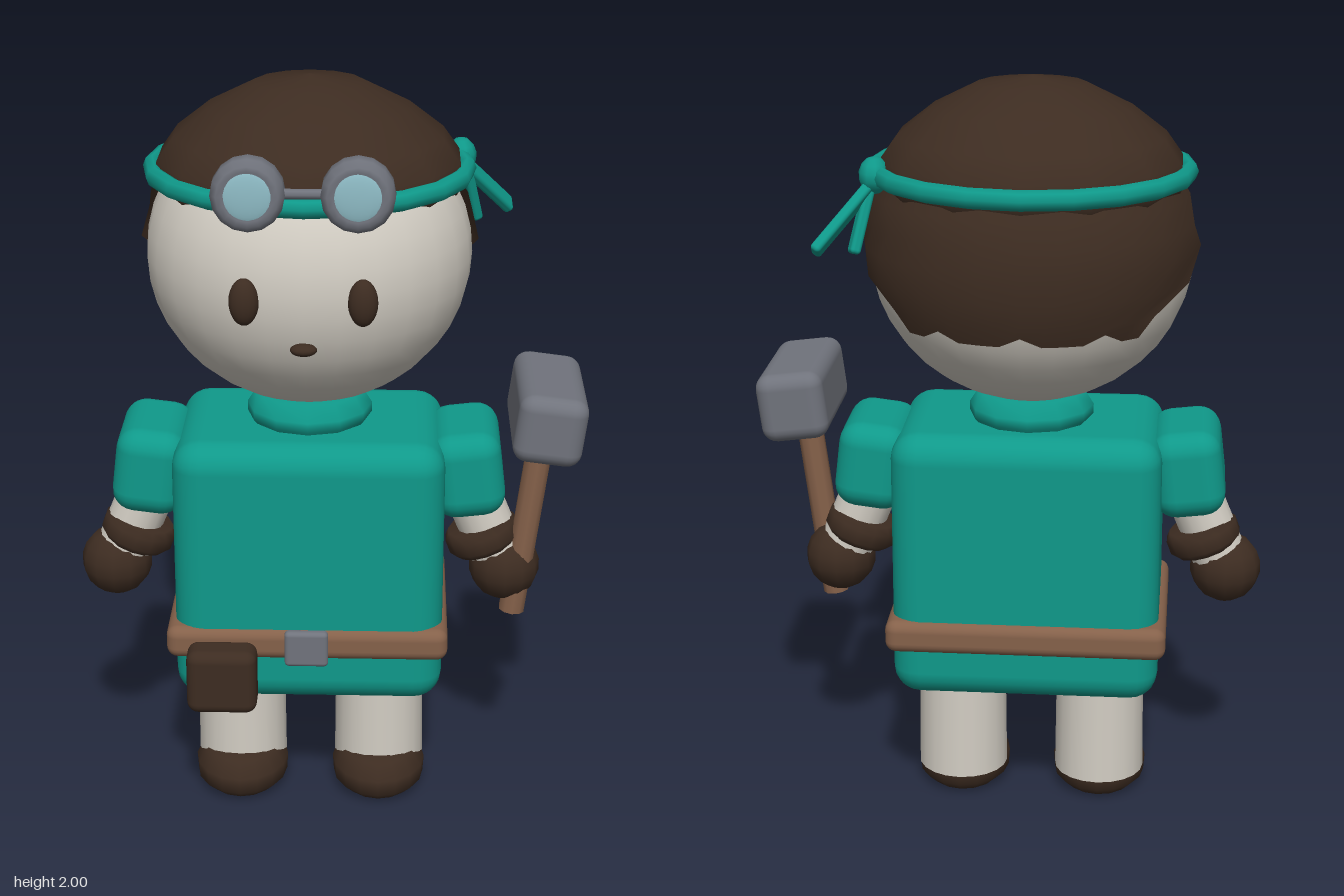
import * as THREE from 'three';
import { RoundedBoxGeometry } from 'three/addons/geometries/RoundedBoxGeometry.js';

const CX = -0.055; // body's plane of symmetry

const paint = (name, color) => {
  const m = new THREE.MeshStandardMaterial({ color });
  m.name = name;
  return m;
};

export function createModel() {
  const model = new THREE.Group();
  model.name = 'hammerWorker';
  const skin = paint('paleSkin', 0xd2cdc3);
  const dark = paint('darkBrown', 0x3d2c21);
  dark.side = THREE.DoubleSide;
  const teal = paint('tealCloth', 0x0f998a);
  const leather = paint('brownLeather', 0x85614a);
  const metal = paint('greyMetal', 0x70737c);
  const glass = paint('paleBlueGlass', 0x8fbcc6);

  const add = (name, geometry, material, x = 0, y = 0, z = 0, rz = 0) => {
    const mesh = new THREE.Mesh(geometry, material);
    mesh.name = name;
    mesh.position.set(x, y, z);
    mesh.rotation.z = rz;
    model.add(mesh);
    return mesh;
  };
  const box = (w, h, d, r) => new RoundedBoxGeometry(w, h, d, 3, r);
  const ball = (rx, ry, rz, n = 16) => new THREE.SphereGeometry(1, n, Math.ceil(n * 0.7)).scale(rx, ry, rz);
  const lathe = (pts, n) => new THREE.LatheGeometry(pts.map(([x, y]) => new THREE.Vector2(x, y)), n);
  // Aims a mesh's y axis from a to b and centres it between them
  const span = (mesh, a, b) => {
    const from = new THREE.Vector3(...a), to = new THREE.Vector3(...b);
    mesh.position.copy(from).add(to).multiplyScalar(0.5);
    mesh.quaternion.setFromUnitVectors(new THREE.Vector3(0, 1, 0), to.sub(from).normalize());
    return mesh;
  };

  // Head and face
  add('head', ball(0.42, 0.395, 0.402, 28), skin, CX, 1.545, 0);
  for (const s of [-1, 1]) add('eye', ball(0.037, 0.06, 0.03), dark, CX + s * 0.145, 1.53, 0.384);
  add('mouth', ball(0.034, 0.016, 0.024, 12), dark, CX, 1.408, 0.385);

  // Hair crown
  const crown = lathe([[0.385, 1.71], [0.402, 1.74], [0.393, 1.79], [0.35, 1.85], [0.26, 1.92], [0.14, 1.98], [0, 2]], 14);
  add('hairCrown', crown.scale(1, 1, 0.925), dark, CX, 0, -0.018);

  // Jagged hair on the back of the head: height and half angle of each row
  const rows = [[1.78, 92], [1.7, 90], [1.635, 79], [1.57, 87], [1.5, 70], [1.44, 50], [1.39, 45]];
  const cols = 12, verts = [], faces = [];
  rows.forEach(([rowY, deg], i) => {
    for (let j = 0; j <= cols; j++) {
      const a = THREE.MathUtils.degToRad(deg) * (j / cols * 2 - 1);
      const y = rowY + (i === rows.length - 1 && j % 4 === 2 ? 0.025 : 0);
      const r = Math.sqrt(1 - ((y - 1.545) / 0.41) ** 2);
      verts.push(0.438 * r * Math.sin(a), y, -0.42 * r * Math.cos(a));
      if (i < rows.length - 1 && j < cols) {
        const p = i * (cols + 1) + j, q = p + cols + 1;
        faces.push(p, p + 1, q + 1, p, q + 1, q);
      }
    }
  });
  const backHair = new THREE.BufferGeometry();
  backHair.setAttribute('position', new THREE.Float32BufferAttribute(verts, 3));
  backHair.setIndex(faces);
  backHair.computeVertexNormals();
  add('backHair', backHair, dark, CX, 0, 0);

  // Headband with side knot and tails
  const band = new THREE.TorusGeometry(0.402, 0.024, 8, 20).rotateX(Math.PI / 2).scale(1, 1.1, 0.95);
  add('headband', band, teal, CX, 1.76, -0.018);
  add('headbandKnot', ball(0.04, 0.048, 0.055, 10), teal, 0.335, 1.76, -0.135);
  span(add('headbandTail', box(0.05, 0.25, 0.028, 0.01), teal), [0.33, 1.75, -0.14], [0.47, 1.59, -0.265]);
  span(add('headbandTail', box(0.04, 0.2, 0.028, 0.01), teal), [0.34, 1.76, -0.14], [0.382, 1.57, -0.205]);

  // Goggles
  const rim = lathe([[0, -0.038], [0.075, -0.038], [0.09, -0.022], [0.09, 0.022], [0.075, 0.038], [0.062, 0.034], [0, 0.03]], 16);
  rim.rotateX(Math.PI / 2);
  for (const s of [-1, 1]) {
    add('goggleRim', rim, metal, CX + s * 0.132, 1.8, 0.376);
    add('goggleLens', ball(0.066, 0.066, 0.012, 18), glass, CX + s * 0.132, 1.8, 0.404);
  }
  add('goggleBridge', new THREE.CylinderGeometry(0.013, 0.013, 0.13, 8), metal, CX, 1.8, 0.378, Math.PI / 2);

  // Torso and collar
  add('tunic', box(0.71, 0.735, 0.505, 0.075), teal, CX + 0.003, 0.7225, 0.017);
  add('collar', lathe([[0, 1.04], [0.13, 1.06], [0.165, 1.1], [0.165, 1.125], [0.14, 1.165], [0, 1.165]], 12), teal, CX, 0, 0.005);

  // Belt, buckle and pouch
  add('belt', box(0.745, 0.09, 0.54, 0.03), leather, CX, 0.538, 0.015);
  add('buckle', box(0.115, 0.1, 0.03, 0.012), metal, CX, 0.54, 0.297);
  add('pouch', box(0.185, 0.18, 0.1, 0.03), dark, -0.277, 0.46, 0.315);

  // Legs and boots
  const boot = lathe([[0, 0], [0.095, 0], [0.125, 0.03], [0.128, 0.075], [0.1, 0.115], [0.055, 0.13], [0, 0.133]], 16);
  boot.scale(1, 1, 1.18);
  for (const s of [-1, 1]) {
    add('leg', new THREE.CylinderGeometry(0.119, 0.123, 0.36, 20), skin, CX + s * 0.191, 0.24, 0.016);
    add('boot', boot, dark, CX + s * 0.191, 0, 0.05);
  }

  // Arms
  for (const s of [-1, 1]) {
    const at = (x, y) => [CX + s * x, y, 0.022];
    add('sleeve', box(0.19, 0.235, 0.315, 0.06), teal, CX + s * 0.418, 0.967, 0.015, s * 0.12);
    span(add('forearm', new THREE.CylinderGeometry(0.075, 0.075, 0.32, 16), skin), at(0.525, 0.66), at(0.405, 0.95));
    const cuff = lathe([[0, -0.036], [0.085, -0.036], [0.1, -0.018], [0.1, 0.018], [0.085, 0.036], [0, 0.036]], 14);
    span(add('gloveCuff', cuff, dark), at(0.478, 0.72), at(0.504, 0.79).map((v, k) => (k ? v : CX + s * 0.452)));
    add('glove', ball(0.096, 0.096, 0.097, 12), dark, CX + s * 0.527, 0.665, 0.025);
  }

  // Hammer in the left hand
  span(add('hammerHandle', new THREE.CylinderGeometry(0.035, 0.035, 0.56, 10), leather), [0.494, 0.545, 0.058], [0.564, 1.1, 0.058]);
  add('hammerHead', box(0.18, 0.185, 0.39, 0.04), metal, 0.57, 1.132, 0.052, -0.125);

  return model;
}
